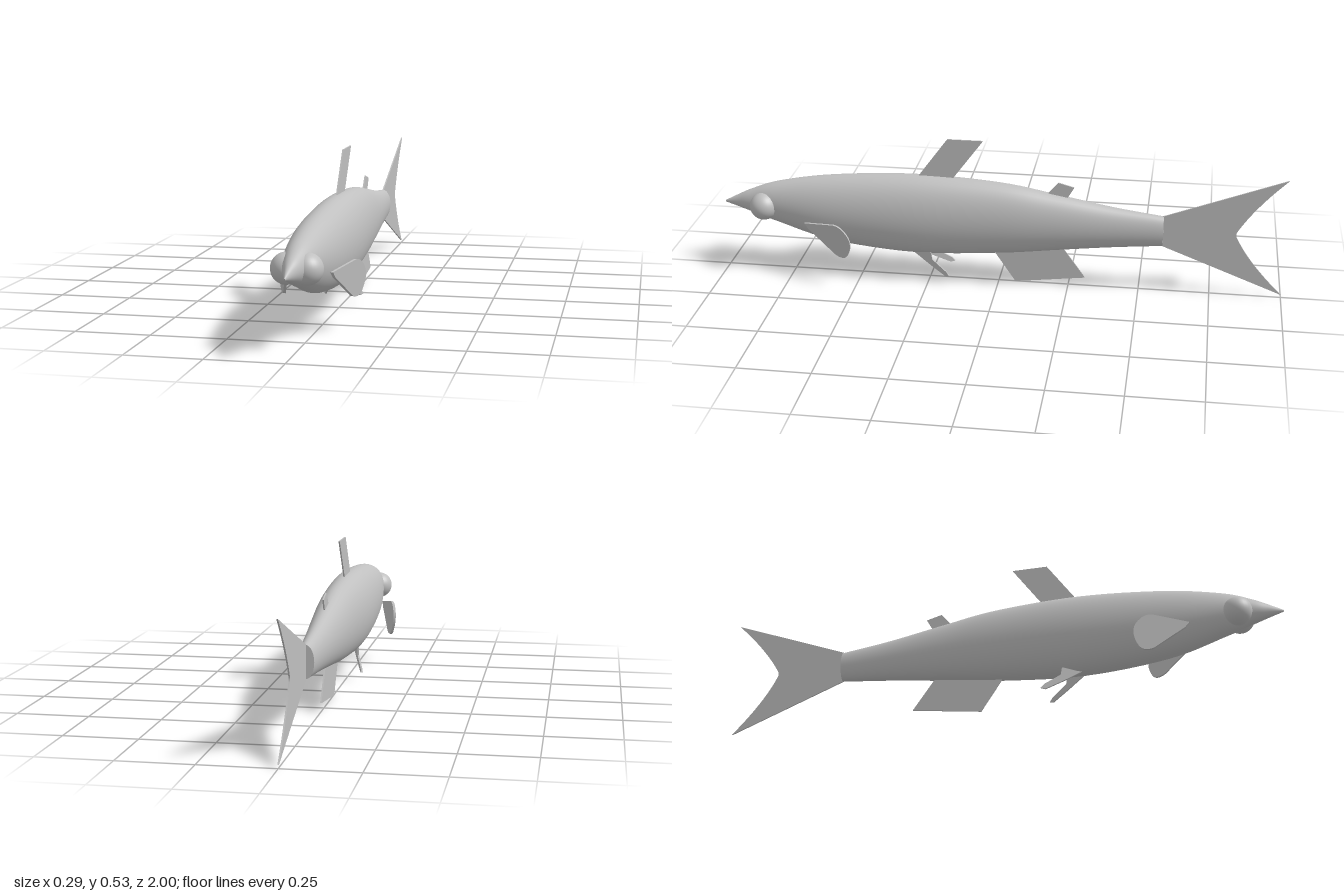
import * as THREE from 'three';

const grey = new THREE.MeshStandardMaterial({ color: 0xc0c0c0 });
grey.name = 'plain grey';

// Body stations from nose to tail root: z, top, bottom, half width
const STATIONS = [
  [1.0, 0.255, 0.249, 0.002],
  [0.95, 0.281, 0.234, 0.017],
  [0.9, 0.305, 0.218, 0.033],
  [0.8, 0.34, 0.185, 0.056],
  [0.6, 0.375, 0.127, 0.08],
  [0.3, 0.394, 0.098, 0.088],
  [0.0, 0.38, 0.114, 0.075],
  [-0.2, 0.347, 0.137, 0.06],
  [-0.4, 0.311, 0.16, 0.043],
  [-0.58, 0.287, 0.176, 0.029],
];

// Smooth loft of elliptical rings
function bodyGeometry(rings = 54, sides = 40) {
  const heights = new THREE.CatmullRomCurve3(
    STATIONS.map(([z, t, b]) => new THREE.Vector3(z, t, b)), false, 'catmullrom');
  const widths = new THREE.CatmullRomCurve3(
    STATIONS.map(([z, , , w]) => new THREE.Vector3(z, w, 0)), false, 'catmullrom');
  const pos = [], index = [];
  for (let i = 0; i <= rings; i++) {
    const { x: z, y: top, z: bottom } = heights.getPoint(i / rings);
    const w = widths.getPoint(i / rings).y;
    for (let j = 0; j < sides; j++) {
      const a = (j / sides) * Math.PI * 2;
      pos.push(w * Math.cos(a), (top + bottom) / 2 + ((top - bottom) / 2) * Math.sin(a), z);
      if (i === rings) continue;
      const p = i * sides + j, q = i * sides + ((j + 1) % sides);
      index.push(p, p + sides, q, q, p + sides, q + sides);
    }
  }
  const g = new THREE.BufferGeometry();
  g.setAttribute('position', new THREE.Float32BufferAttribute(pos, 3));
  g.setIndex(index);
  g.computeVertexNormals();
  return g;
}

// Outline of [z, y] points as a shape seen from the side
const outline = (pts) => new THREE.Shape(pts.map(([z, y]) => new THREE.Vector2(-z, y)));

// Thin plate standing along the body; slant(z, y) moves it sideways
function finGeometry(shape, thickness, slant = () => 0) {
  const g = new THREE.ExtrudeGeometry(shape, { depth: thickness, bevelEnabled: false, curveSegments: 14 });
  g.translate(0, 0, -thickness / 2).rotateY(Math.PI / 2);
  const p = g.attributes.position;
  for (let i = 0; i < p.count; i++) p.setX(i, p.getX(i) + slant(p.getZ(i), p.getY(i)));
  g.computeVertexNormals();
  return g;
}

export function createModel() {
  const model = new THREE.Group();
  model.name = 'fish';
  const add = (name, geometry) => {
    const mesh = new THREE.Mesh(geometry, grey);
    mesh.name = name;
    model.add(mesh);
    return mesh;
  };

  add('body', bodyGeometry());

  // Flat end of the body at the tail root
  const [endZ, endTop, endBottom, endWidth] = STATIONS[STATIONS.length - 1];
  const cap = add('tailRoot', new THREE.CircleGeometry(1, 40));
  cap.scale.set(endWidth, (endTop - endBottom) / 2, 1);
  cap.rotation.y = Math.PI;
  cap.position.set(0, (endTop + endBottom) / 2, endZ);

  // Forked tail with a curved notch
  const tail = new THREE.Shape();
  tail.moveTo(0.57, 0.178);
  tail.lineTo(1.0, 0.013);
  tail.quadraticCurveTo(0.88, 0.13, 0.835, 0.222);
  tail.quadraticCurveTo(0.829, 0.234, 0.836, 0.246);
  tail.quadraticCurveTo(0.89, 0.34, 1.0, 0.446);
  tail.lineTo(0.57, 0.285);
  tail.closePath();
  add('tailFin', finGeometry(tail, 0.005));

  // Fins on the centre line
  const centreFins = {
    dorsalFin: [[0.295, 0.38], [0.182, 0.534], [0.056, 0.534], [0.17, 0.38]],
    adiposeFin: [[-0.16, 0.335], [-0.21, 0.393], [-0.265, 0.378], [-0.235, 0.325]],
    analFin: [[0.03, 0.135], [-0.06, 0.002], [-0.31, 0.033], [-0.225, 0.15]],
  };
  for (const [name, pts] of Object.entries(centreFins)) {
    add(name, finGeometry(outline(pts), 0.005));
  }

  // Paired fins and eyes
  const pectoral = new THREE.Shape();
  pectoral.moveTo(-0.69, 0.215);
  pectoral.lineTo(-0.675, 0.196);
  pectoral.lineTo(-0.572, 0.118);
  pectoral.quadraticCurveTo(-0.535, 0.1, -0.52, 0.13);
  pectoral.quadraticCurveTo(-0.495, 0.18, -0.53, 0.215);
  pectoral.quadraticCurveTo(-0.55, 0.237, -0.575, 0.235);
  pectoral.lineTo(-0.65, 0.222);
  pectoral.closePath();
  const pelvic = outline([[0.315, 0.108], [0.24, 0.064], [0.185, 0.034], [0.17, 0.037],
    [0.182, 0.052], [0.235, 0.088], [0.24, 0.115]]);

  for (const [side, s] of [['left', 1], ['right', -1]]) {
    add(side + 'PectoralFin', finGeometry(pectoral, 0.009,
      (z, y) => s * (0.071 + 0.4 * (0.68 - z) + 0.1 * (y - 0.17))));
    add(side + 'PelvicFin', finGeometry(pelvic, 0.006, (z) => s * (0.016 + 0.37 * (0.305 - z))));
    add(side + 'Eye', new THREE.SphereGeometry(0.05, 32, 20)).position.set(s * 0.032, 0.255, 0.848);
  }
  return model;
}
